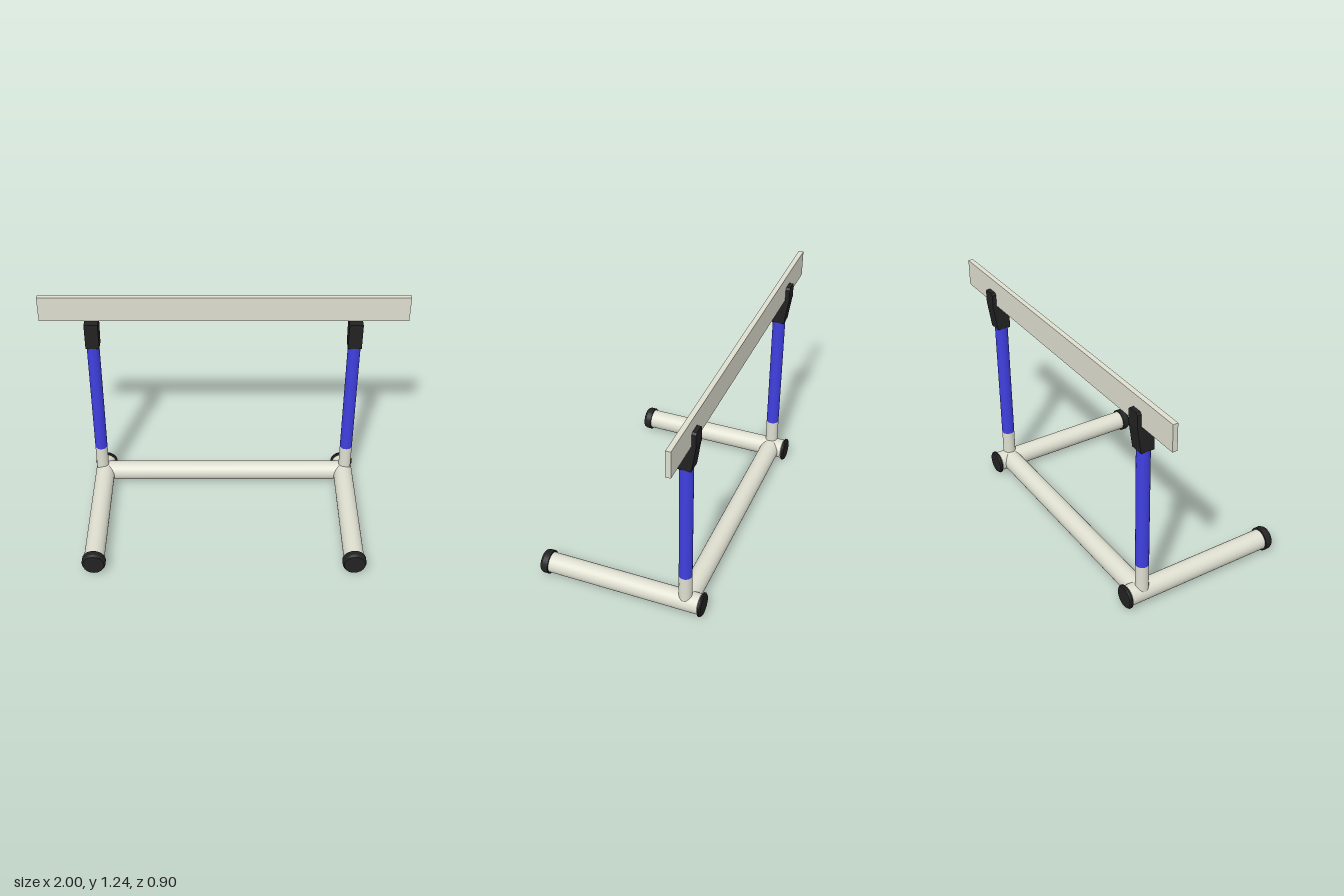
import * as THREE from 'three';

const mat = (name, color) => {
  const m = new THREE.MeshStandardMaterial({ color });
  m.name = name;
  return m;
};

export function createModel() {
  const cream = mat('cream', 0xdedfd0);
  const blue = mat('blue', 0x3f3fe0);
  const black = mat('black', 0x222222);
  const model = new THREE.Group();
  model.name = 'hurdle';

  const add = (name, geometry, material, x, y, z) => {
    const mesh = new THREE.Mesh(geometry, material);
    mesh.name = name;
    mesh.position.set(x, y, z);
    model.add(mesh);
    return mesh;
  };
  const tube = (r, length) => new THREE.CylinderGeometry(r, r, length, 32);

  // Rubber end cap pointing along +z, with a chamfered rim
  const capGeometry = (depth, chamfer) => {
    const side = new THREE.LatheGeometry([
      [0, 0], [0.064, 0], [0.064, 0], [0.064, depth - chamfer], [0.064, depth - chamfer],
      [0.057, depth], [0.057, depth], [0, depth],
    ].map(([r, y]) => new THREE.Vector2(r, y)), 32);
    return side.rotateX(Math.PI / 2);
  };

  // Extrudes a flat outline, centred on its depth
  const plate = (points, depth) => {
    const shape = new THREE.Shape(points.map(([x, y]) => new THREE.Vector2(x, y)));
    return new THREE.ExtrudeGeometry(shape, { depth, bevelEnabled: false }).translate(0, 0, -depth / 2);
  };

  // Bracket side outline as (-z, y): block with a sloping back
  const blockGeometry = plate([
    [0.317, 0.95], [0.39, 0.95], [0.412, 1.1], [0.317, 1.1],
  ], 0.075).rotateY(Math.PI / 2);

  // Upright tab behind the board, with clipped top corners
  const tabGeometry = plate([
    [-0.0375, 1.09], [0.0375, 1.09], [0.0375, 1.165], [0.028, 1.176],
    [-0.028, 1.176], [-0.0375, 1.165],
  ], 0.022);

  // Base crossbar and top board
  add('crossbar', tube(0.055, 1.4), cream, 0, 0.07, -0.357).rotation.z = Math.PI / 2;
  add('board', new THREE.BoxGeometry(2, 0.145, 0.027), cream, 0, 1.1725, -0.3765);

  for (const s of [-1, 1]) {
    const footX = s * 0.703;
    const postX = s * 0.7145 - 0.002;

    // Foot tube and its end caps
    add('foot', tube(0.055, 0.86), cream, footX, 0.07, 0).rotation.x = Math.PI / 2;
    add('frontCap', capGeometry(0.043, 0.014), black, footX, 0.07, 0.409);
    add('backCap', capGeometry(0.015, 0.007), black, footX, 0.07, -0.436).rotation.y = Math.PI;

    // Upright: socket, painted post, bracket
    add('socket', tube(0.035, 0.185), cream, postX, 0.1625, -0.353);
    add('post', tube(0.035, 0.7), blue, postX, 0.605, -0.353);
    add('bracketBlock', blockGeometry, black, postX, 0, 0);
    add('bracketTab', tabGeometry, black, postX, 0, -0.401);
  }
  return model;
}
